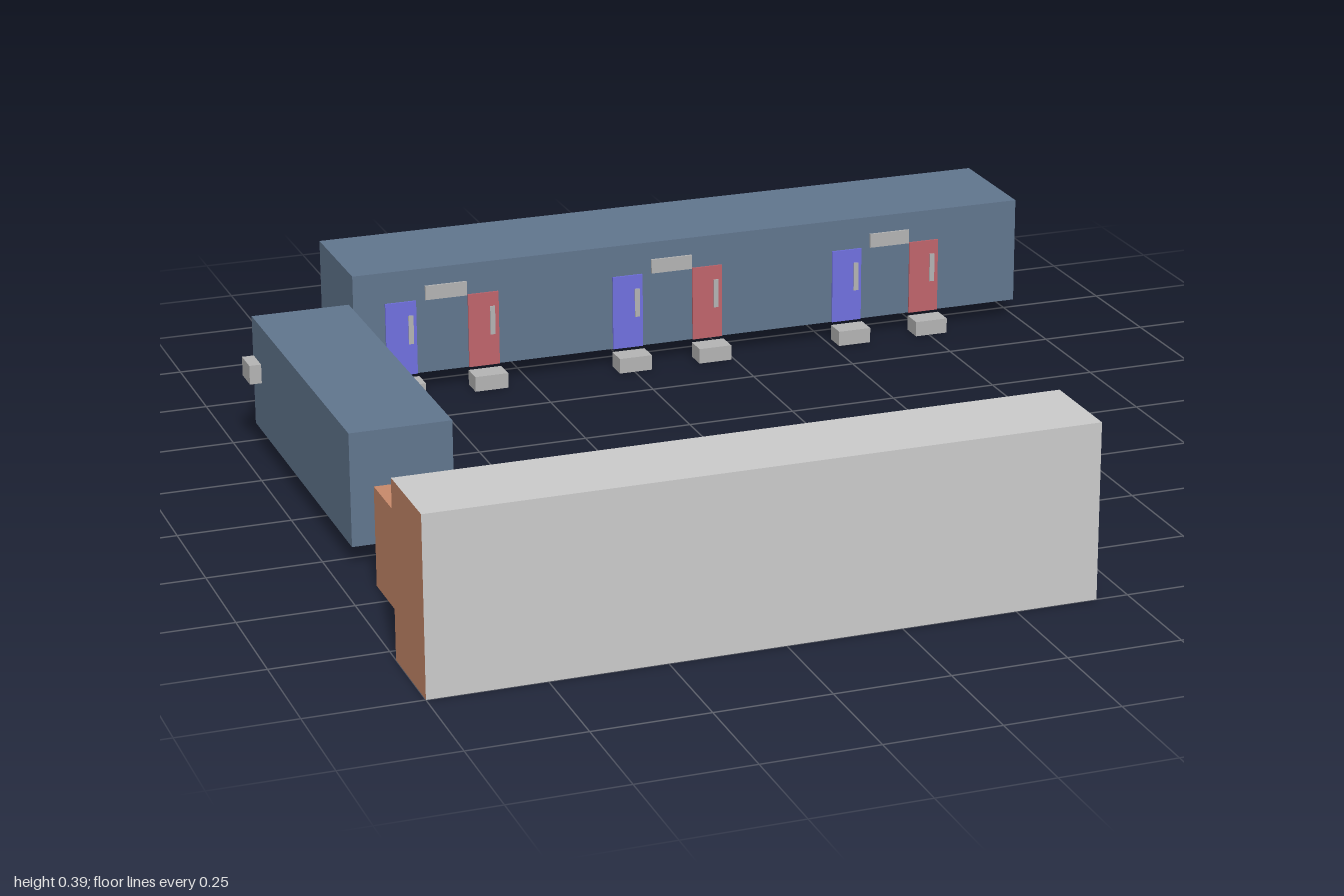
import * as THREE from 'three';

const mat = (color) => new THREE.MeshStandardMaterial({ color });
const GREY = mat(0xcccccc), TRIM = mat(0xb4b4b4), STEEL_BLUE = mat(0x61768e);
const BRICK = mat(0xc8896a), BLUE = mat(0x7070e0), RED = mat(0xc0646c);

// Box given by its minimum and maximum on each axis
function box(name, material, [x0, x1], [y0, y1], [z0, z1]) {
  const mesh = new THREE.Mesh(new THREE.BoxGeometry(x1 - x0, y1 - y0, z1 - z0), material);
  mesh.name = name;
  mesh.position.set((x0 + x1) / 2, (y0 + y1) / 2, (z0 + z1) / 2);
  return mesh;
}

// Blue and red door with handles, steps and a sign between; wall plane at z = 0
function doorPair(s, redX, handles, stepDepth) {
  const g = new THREE.Group();
  g.name = 'doorPair';
  const w = 0.037 * s;
  [['blueDoor', BLUE, 0], ['redDoor', RED, redX]].forEach(([name, material, x], i) => {
    const h = x + handles[i];
    g.add(
      box(name, material, [x - w, x + w], [0.042, 0.22], [-0.002, 0.004]),
      box('doorHandle', TRIM, [h - 0.006, h + 0.006], [0.117, 0.186], [0.002, 0.007]),
      box('step', TRIM, [x - w - 0.003, x + w + 0.003], [0, 0.036], [0.005, 0.005 + stepDepth]));
  });
  const m = redX / 2 + 0.01;
  g.add(box('sign', TRIM, [m - 0.05 * s, m + 0.05 * s], [0.219, 0.253], [-0.002, 0.005]));
  return g;
}

export function createModel() {
  const model = new THREE.Group();

  // Large grey block with a brick-coloured end and underside
  model.add(box('largeBlock', [GREY, BRICK, GREY, BRICK, GREY, GREY],
    [-1, 0.43], [0, 0.387], [0.795, 1]));

  // Small booth with a door and window
  const booth = new THREE.Group();
  booth.name = 'booth';
  booth.add(
    box('boothBody', BRICK, [-0.93, -0.726], [0, 0.22], [0.415, 0.668]),
    box('boothDoor', TRIM, [-0.73, -0.722], [0.002, 0.174], [0.507, 0.592]),
    box('boothWindow', TRIM, [-0.73, -0.722], [0.09, 0.145], [0.597, 0.65]));
  model.add(booth);

  // Short cabin, its doors facing +x
  const shortCabin = new THREE.Group();
  shortCabin.name = 'shortCabin';
  const shortDoors = doorPair(1.42, 0.285, [0.03, 0.02], 0.045);
  shortDoors.rotation.y = Math.PI / 2;
  shortDoors.position.set(-0.723, 0, 0.132);
  shortCabin.add(
    box('cabinBody', STEEL_BLUE, [-0.947, -0.723], [0.042, 0.295], [-0.498, 0.293]),
    box('airConditioner', TRIM, [-0.974, -0.945], [0.16, 0.204], [-0.493, -0.428]),
    shortDoors);
  model.add(shortCabin);

  // Long cabin with three pairs of doors in front and three units behind
  const longCabin = new THREE.Group();
  longCabin.name = 'longCabin';
  longCabin.add(box('cabinBody', STEEL_BLUE, [-0.662, 0.996], [0.042, 0.295], [-0.967, -0.686]));
  for (const x of [-0.55, 0.003, 0.557]) {
    const doors = doorPair(1, 0.199, [0.023, 0.021], 0.053);
    doors.position.set(x, 0, -0.686);
    longCabin.add(doors,
      box('airConditioner', TRIM, [x + 0.39, x + 0.439], [0.16, 0.204], [-1, -0.965]));
  }
  model.add(longCabin);
  return model;
}
